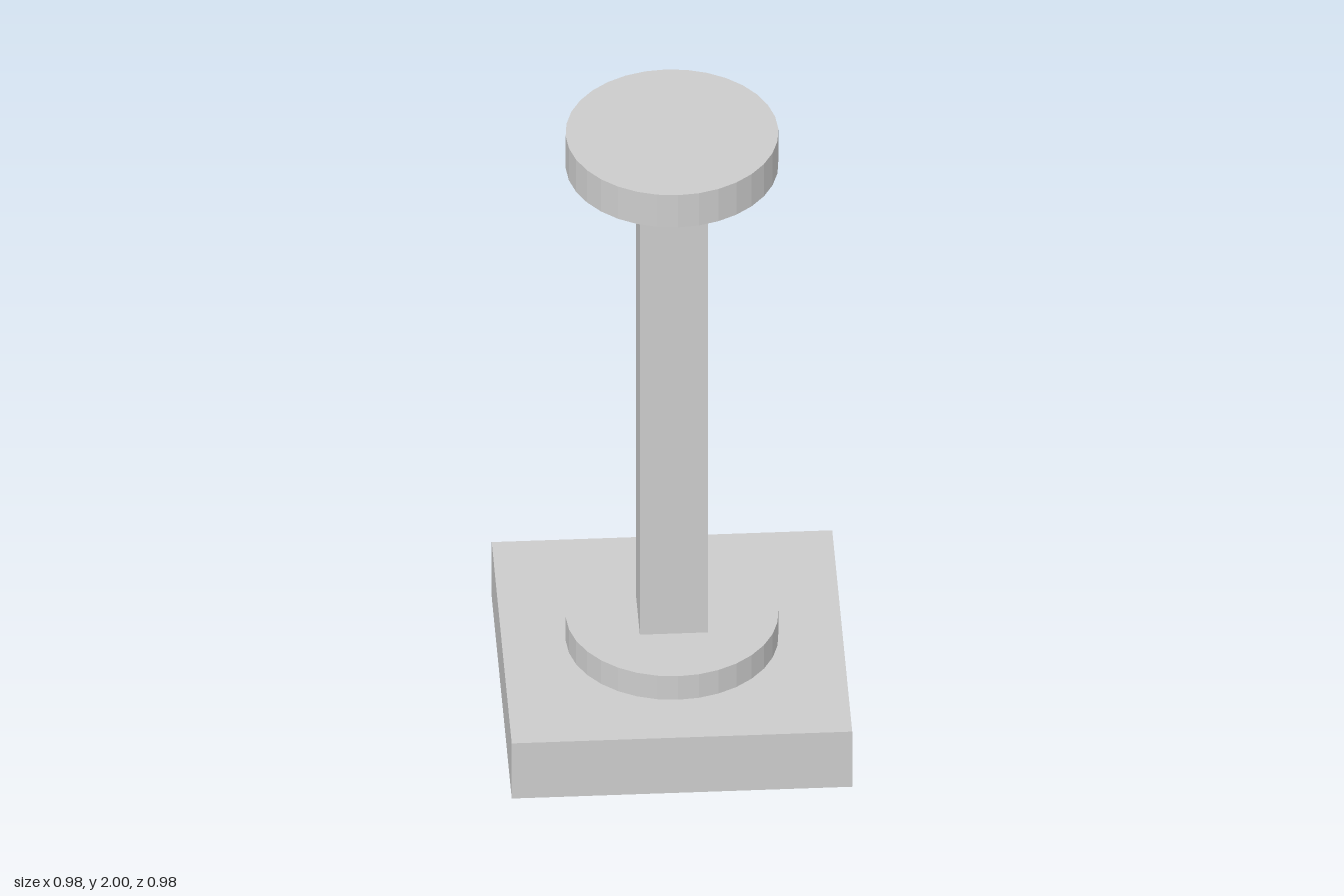
import * as THREE from 'three';

const material = new THREE.MeshStandardMaterial({ color: 0xcccccc, flatShading: true });

export function createModel() {
  const model = new THREE.Group();
  model.name = 'pedestal';

  // Adds a part whose geometry is centred, spanning heights y0 to y1
  const add = (name, geometry, y0, y1) => {
    const mesh = new THREE.Mesh(geometry, material);
    mesh.name = name;
    mesh.position.y = (y0 + y1) / 2;
    model.add(mesh);
  };
  const block = (name, width, y0, y1) =>
    add(name, new THREE.BoxGeometry(width, y1 - y0, width), y0, y1);
  const disc = (name, radius, y0, y1) =>
    add(name, new THREE.CylinderGeometry(radius, radius, y1 - y0, 32), y0, y1);

  block('base', 0.983, 0, 0.197); // square plinth
  disc('collar', 0.307, 0.197, 0.281); // round foot of the column
  block('column', 0.197, 0.281, 1.885); // square shaft
  disc('topDisc', 0.307, 1.885, 2); // round cap

  return model;
}
